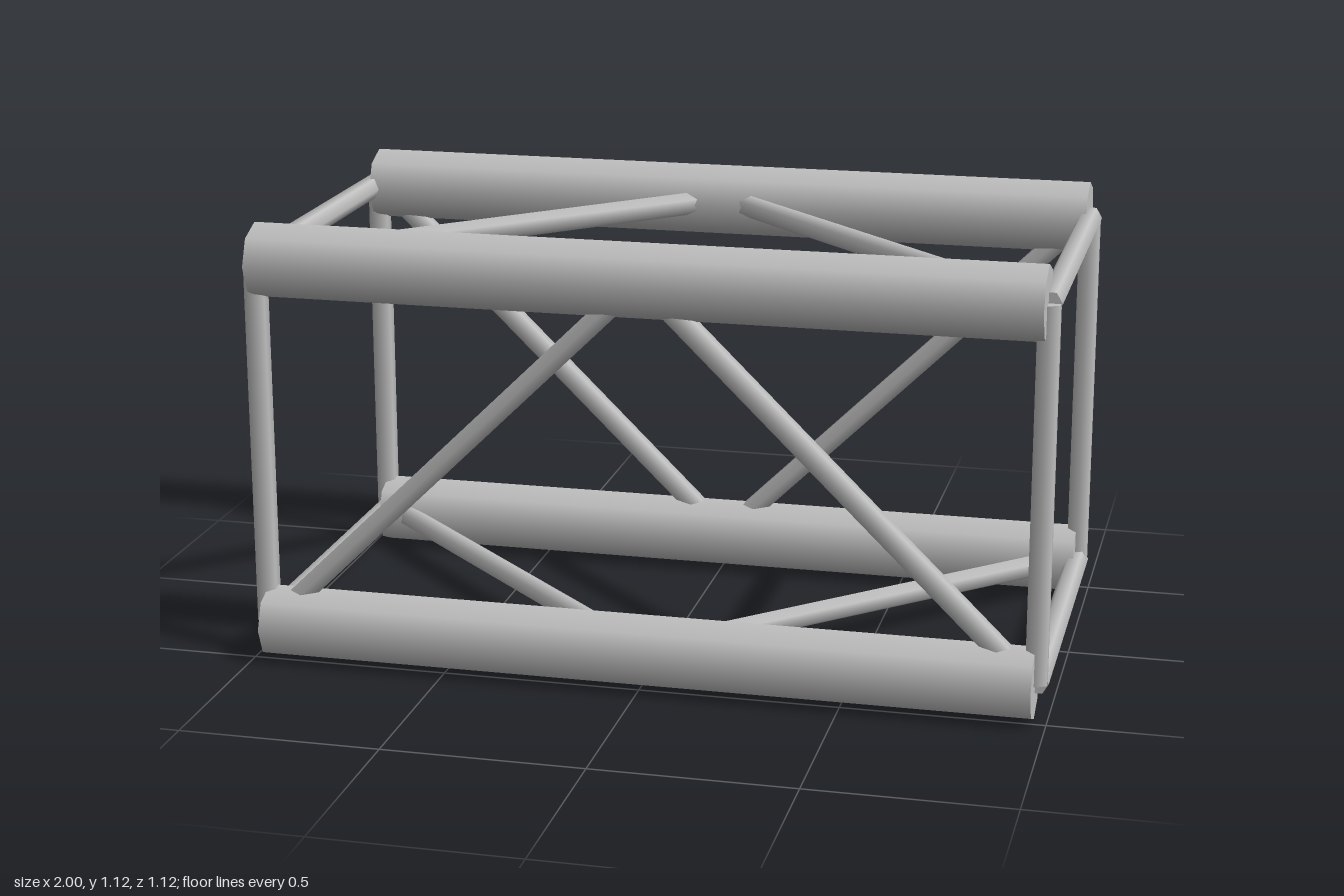
import * as THREE from 'three';

const LOW = 0.096, HIGH = 1.03, SIDE = 0.467, END = 0.97;

export function createModel() {
  const truss = new THREE.Group();
  truss.name = 'boxTruss';
  const aluminium = new THREE.MeshStandardMaterial({ color: 0xc0c0c0 });
  aluminium.name = 'aluminium';

  // Straight tube from a to b; one corner of its section points along "corner"
  function rod(name, a, b, radius, sides, corner) {
    const start = new THREE.Vector3(...a), end = new THREE.Vector3(...b);
    const axis = end.clone().sub(start);
    const geometry = new THREE.CylinderGeometry(radius, radius, axis.length(), sides);
    axis.normalize();
    const z = new THREE.Vector3(...corner);
    const x = new THREE.Vector3().crossVectors(axis, z);
    geometry.applyMatrix4(new THREE.Matrix4().makeBasis(x, axis, z));
    const mesh = new THREE.Mesh(geometry, aluminium);
    mesh.position.copy(start).add(end).multiplyScalar(0.5);
    mesh.name = name;
    truss.add(mesh);
  }

  // Four main chords
  for (const y of [LOW, HIGH]) {
    for (const z of [SIDE, -SIDE]) {
      rod('chord', [-0.967, y, z], [0.967, y, z], 0.093, 8, [0, 0, 1]);
    }
  }

  for (const s of [-1, 1]) {
    // Square frame at each end
    for (const z of [SIDE, -SIDE]) {
      rod('endPost', [s * END, LOW, z], [s * END, HIGH, z], 0.03, 6, [0, 0, 1]);
    }
    for (const y of [LOW, HIGH]) {
      rod('endCrossbar', [s * END, y, -SIDE], [s * END, y, SIDE], 0.03, 6, [1, 0, 0]);
    }

    // Diagonal braces, opposite slopes on opposite faces
    const outer = s * 0.957, inner = s * 0.005;
    rod('frontBrace', [outer, LOW, SIDE], [inner, HIGH, SIDE], 0.03, 6, [0, 0, 1]);
    rod('backBrace', [outer, HIGH, -SIDE], [inner, LOW, -SIDE], 0.03, 6, [0, 0, 1]);
    rod('topBrace', [outer, HIGH, SIDE], [inner, HIGH, -SIDE], 0.03, 6, [0, 1, 0]);
    rod('bottomBrace', [outer, LOW, -SIDE], [inner, LOW, SIDE], 0.03, 6, [0, 1, 0]);
  }
  return truss;
}
